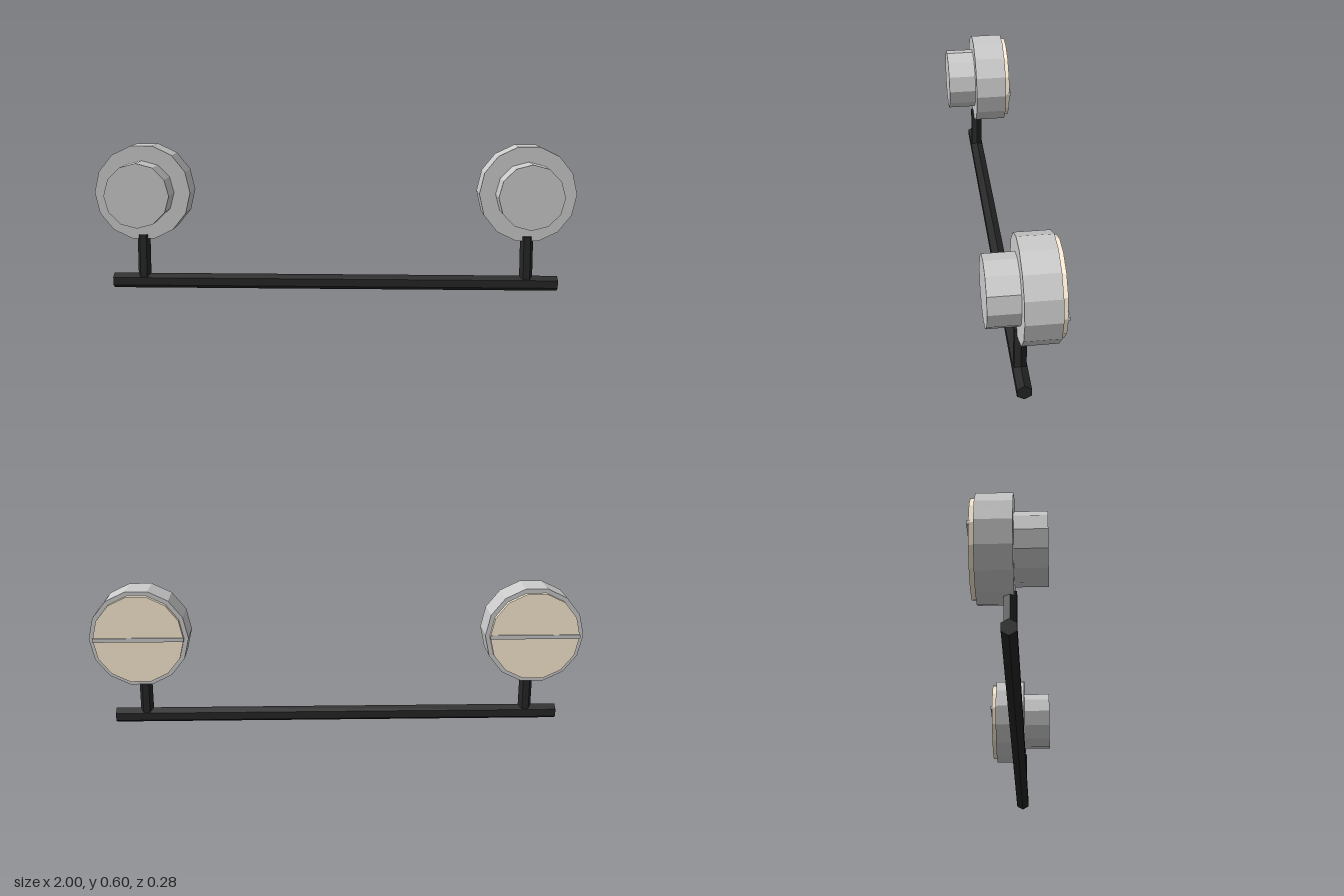
import * as THREE from 'three';

const material = (color) => new THREE.MeshStandardMaterial({ color, flatShading: true });

export function createModel() {
  const grey = material(0xcccccc);
  const black = material(0x262626);
  const cream = material(0xfff0d6);
  const model = new THREE.Group();
  model.name = 'twinLampBar';

  const add = (parent, name, geometry, mat, x, y, z) => {
    const mesh = new THREE.Mesh(geometry, mat);
    mesh.name = name;
    mesh.position.set(x, y, z);
    parent.add(mesh);
  };

  // Faceted drum along z, with corners on the x axis
  const drum = (parent, name, radius, z0, z1, sides, mat) => {
    const geometry = new THREE.CylinderGeometry(radius, radius, z1 - z0, sides)
      .rotateX(Math.PI / 2).rotateZ(Math.PI / 2);
    add(parent, name, geometry, mat, 0, 0, (z0 + z1) / 2);
  };

  // Hexagonal mounting rod with a ridge along top and bottom
  const rod = new THREE.CylinderGeometry(0.0315, 0.0315, 1.86, 6)
    .rotateY(Math.PI / 2).rotateZ(Math.PI / 2);
  add(model, 'mountingRod', rod, black, 0, 0.0315, 0.006);

  for (const side of [-1, 1]) {
    const name = side > 0 ? 'leftLamp' : 'rightLamp';

    // Hexagonal post between rod and lamp
    const post = new THREE.CylinderGeometry(0.027, 0.027, 0.19, 6).rotateY(Math.PI / 2);
    add(model, name + 'Post', post, black, side * 0.8, 0.135, 0.006);

    // Lamp: wide body, narrower front housing, lens and divider at the back
    const lamp = new THREE.Group();
    lamp.name = name;
    lamp.position.set(side * 0.8, 0.4065, 0);
    drum(lamp, 'body', 0.2, -0.114, 0.02, 14, grey);
    drum(lamp, 'housing', 0.1335, 0.015, 0.14, 12, grey);
    drum(lamp, 'lens', 0.182, -0.132, -0.11, 14, cream);
    add(lamp, 'lensDivider', new THREE.BoxGeometry(0.364, 0.016, 0.01), grey, 0, 0, -0.133);
    model.add(lamp);
  }
  return model;
}
